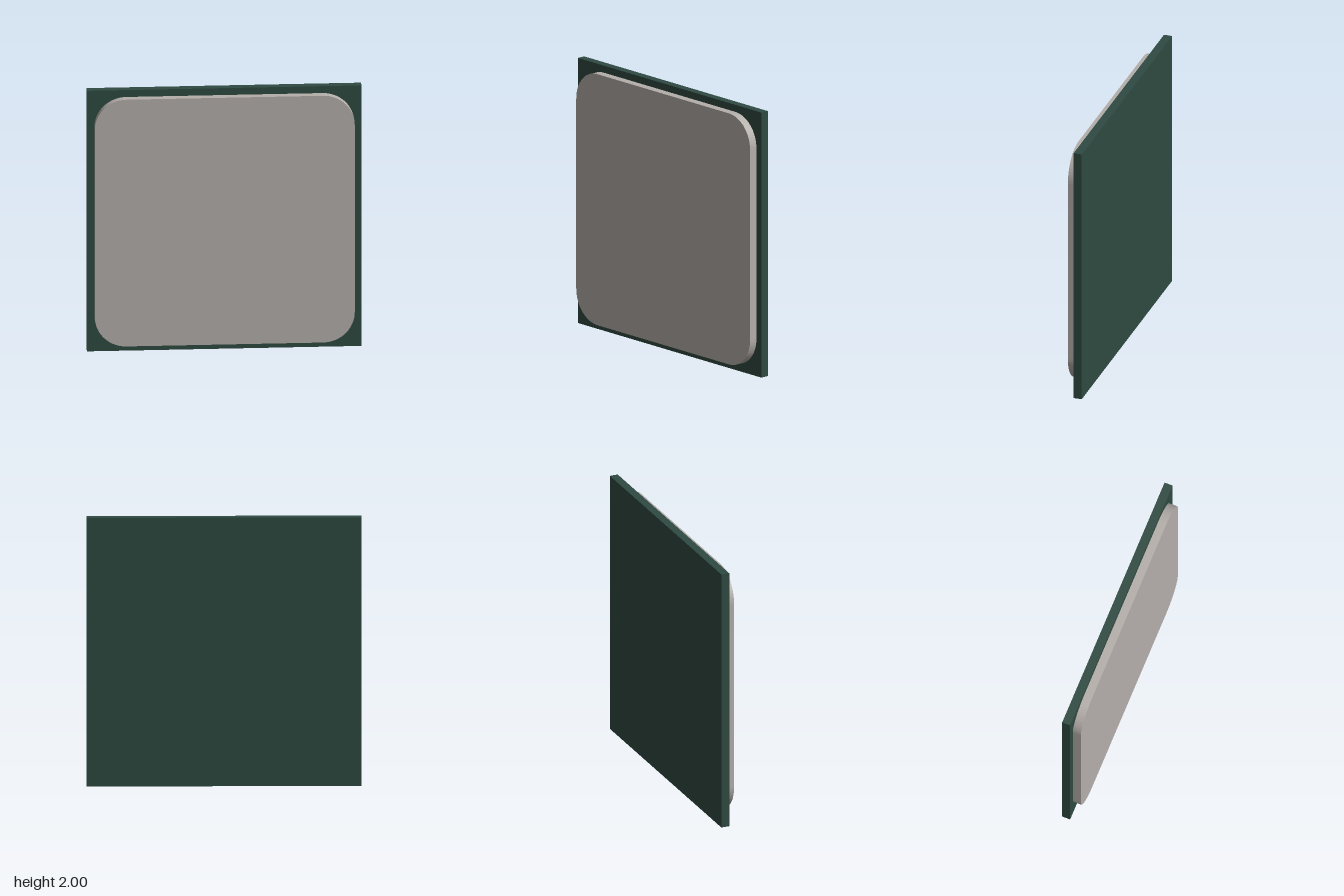
import * as THREE from 'three';

const THICKNESS = 0.0625;

// Rounded square outline centred on the origin
function roundedSquare(half, radius) {
  const shape = new THREE.Shape();
  const c = half - radius;
  const centres = [[c, c], [-c, c], [-c, -c], [c, -c]];
  shape.moveTo(half, c);
  centres.forEach(([x, y], i) => {
    const start = (i * Math.PI) / 2;
    shape.absarc(x, y, radius, start, start + Math.PI / 2, false);
  });
  shape.closePath();
  return shape;
}

export function createModel() {
  const group = new THREE.Group();
  group.name = 'wallTile';

  // Square backing board
  const board = new THREE.Mesh(
    new THREE.BoxGeometry(2, 2, THICKNESS),
    new THREE.MeshStandardMaterial({ color: 0x2f4a42 })
  );
  board.name = 'backingBoard';
  board.position.set(0, 1, -THICKNESS / 2);
  group.add(board);

  // Raised front panel with faceted rounded corners
  const panel = new THREE.Mesh(
    new THREE.ExtrudeGeometry(roundedSquare(0.947, 0.23), {
      depth: THICKNESS,
      bevelEnabled: false,
      curveSegments: 8,
    }),
    new THREE.MeshStandardMaterial({ color: 0xb5afab })
  );
  panel.name = 'frontPanel';
  panel.position.y = 1;
  group.add(panel);

  return group;
}
